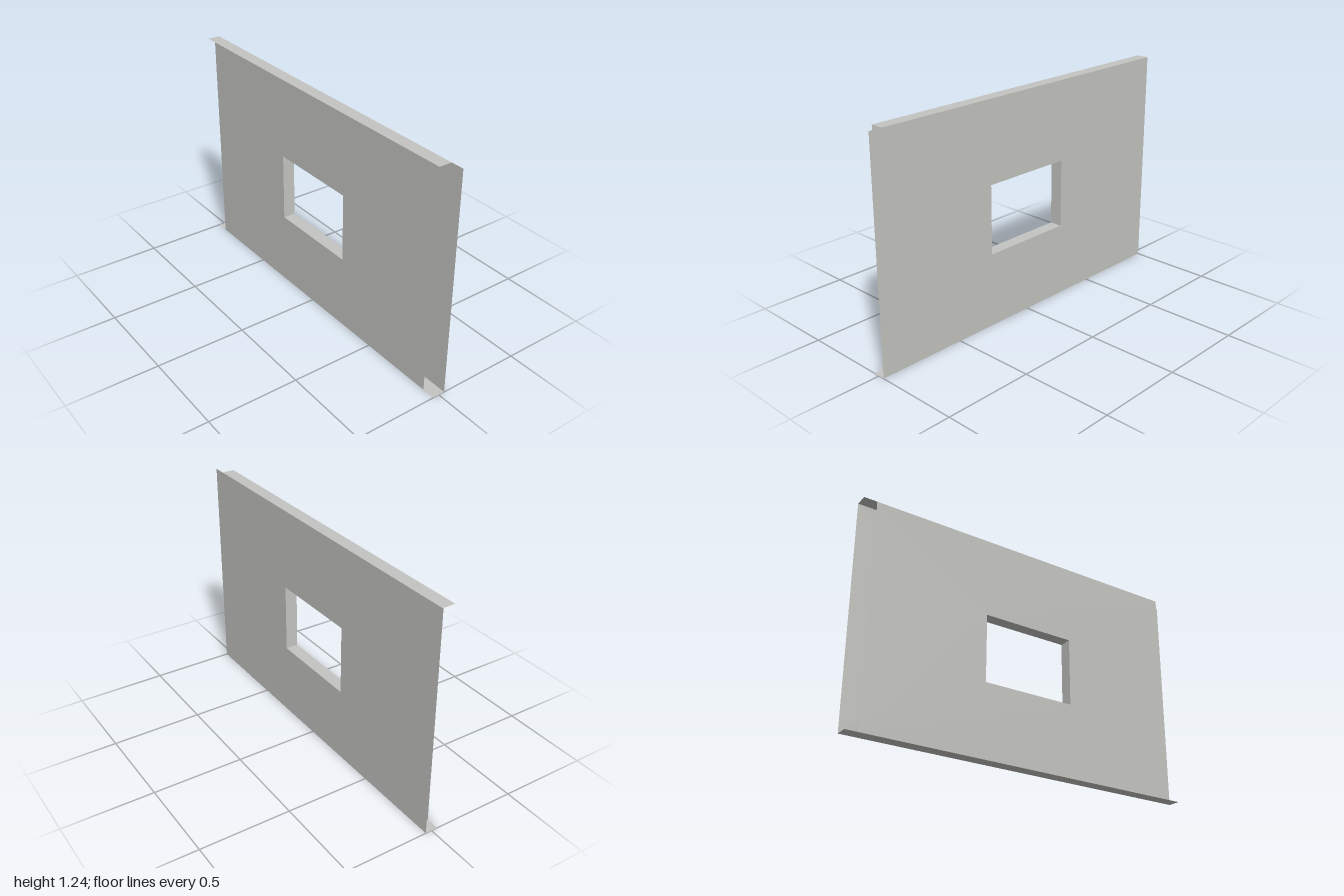
import * as THREE from 'three';

const H = 1.235;               // wall height
const X = 0.035;               // half thickness
const WIN = { z: 0.265, y0: 0.41, y1: 0.79 };

export function createModel() {
  const group = new THREE.Group();
  const plaster = new THREE.MeshStandardMaterial({ color: 0xc4c4c1, side: THREE.DoubleSide });
  plaster.name = 'light grey plaster';

  const add = (name, geometry) => {
    const mesh = new THREE.Mesh(geometry, plaster);
    mesh.name = name;
    group.add(mesh);
  };

  // Thin wall sheet with the window cut out, facing the given side
  const sheet = (side, halfLength) => {
    const shape = new THREE.Shape([
      [-halfLength, 0], [halfLength, 0], [halfLength, H], [-halfLength, H],
    ].map(([a, b]) => new THREE.Vector2(a, b)));
    shape.holes.push(new THREE.Path([
      [-WIN.z, WIN.y0], [-WIN.z, WIN.y1], [WIN.z, WIN.y1], [WIN.z, WIN.y0],
    ].map(([a, b]) => new THREE.Vector2(a, b))));
    return new THREE.ShapeGeometry(shape).rotateY(side * Math.PI / 2).translate(side * X, 0, 0);
  };
  add('leftWallSheet', sheet(1, 1));
  add('rightWallSheet', sheet(-1, 0.928));

  // Horizontal strip across the thickness; dir is 1 facing up, -1 facing down
  const strip = (z0, z1, y, dir) => new THREE.PlaneGeometry(2 * X, z1 - z0)
    .rotateX(-dir * Math.PI / 2).translate(0, y, (z0 + z1) / 2);
  add('bottomStrip', strip(-1, 1, 0, -1));
  add('topStrip', strip(-1, 0.928, H, 1));

  // Window reveals, facing into the opening
  add('windowSill', strip(-WIN.z, WIN.z, WIN.y0, 1));
  add('windowLintel', strip(-WIN.z, WIN.z, WIN.y1, -1));
  for (const s of [-1, 1]) {
    const jamb = new THREE.PlaneGeometry(2 * X, WIN.y1 - WIN.y0);
    if (s > 0) jamb.rotateY(Math.PI);
    add(s > 0 ? 'frontWindowJamb' : 'backWindowJamb',
      jamb.translate(0, (WIN.y0 + WIN.y1) / 2, s * WIN.z));
  }
  return group;
}
